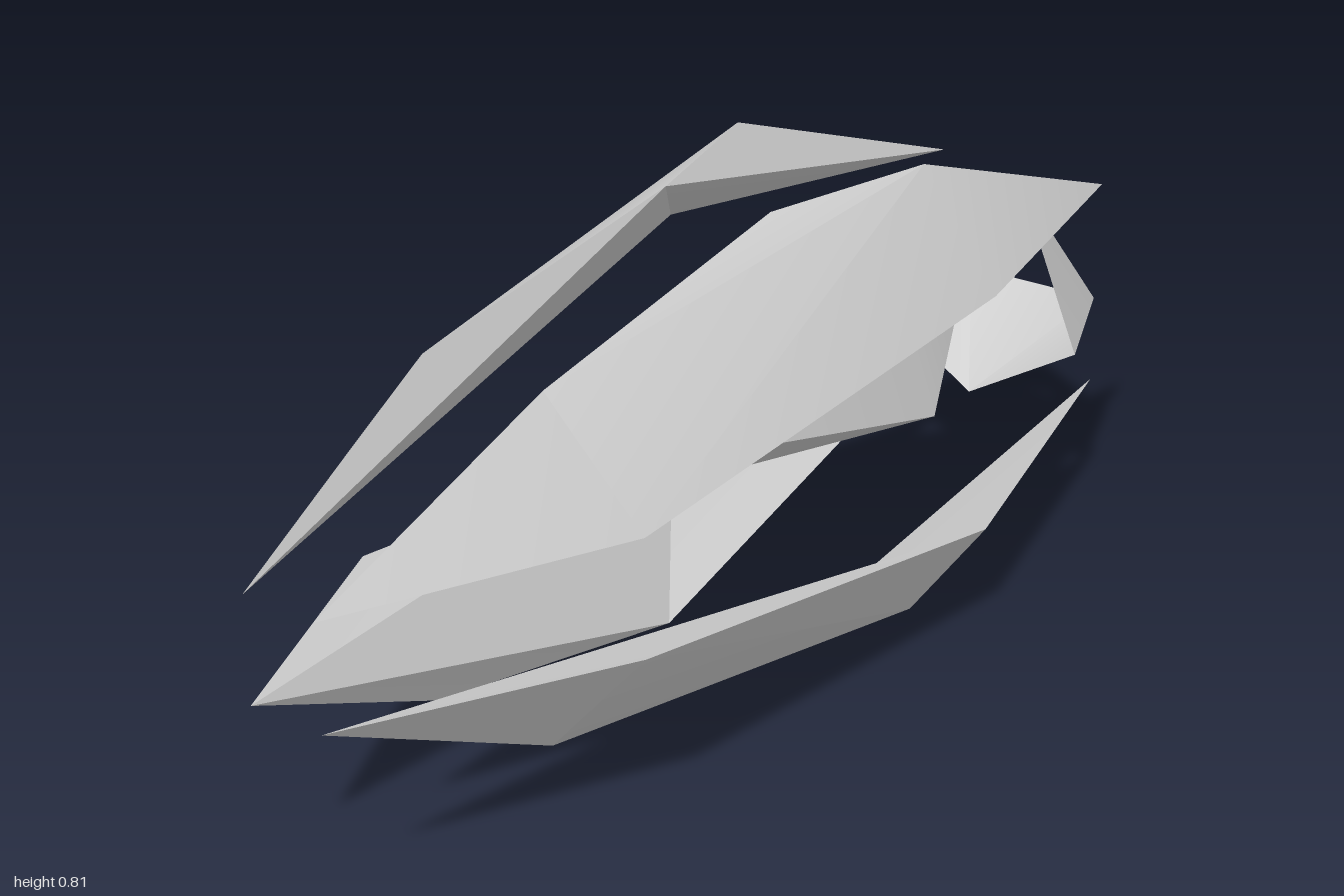
import * as THREE from 'three';
import { toCreasedNormals } from 'three/addons/utils/BufferGeometryUtils.js';

const CENTRE_Y = 0.406;

// Builds a faceted mesh from named corners (y relative to the centre line) and
// triangles spelled with those names; sx and sy mirror it, keeping faces outward.
function faceted(name, corners, triangles, { sx = 1, sy = 1, open = false, crease = 0.45 } = {}) {
  const keys = Object.keys(corners);
  const positions = keys.flatMap((k) => {
    const [x, y, z] = corners[k];
    return [x * sx, CENTRE_Y + y * sy, z];
  });
  const index = triangles.split(' ').flatMap((t) => {
    const [a, b, c] = [...t].map((k) => keys.indexOf(k));
    return sx * sy > 0 ? [a, b, c] : [a, c, b];
  });
  const geometry = new THREE.BufferGeometry();
  geometry.setAttribute('position', new THREE.Float32BufferAttribute(positions, 3));
  geometry.setIndex(index);
  const material = new THREE.MeshStandardMaterial({
    color: 0xcccccc,
    side: open ? THREE.DoubleSide : THREE.FrontSide,
  });
  const mesh = new THREE.Mesh(toCreasedNormals(geometry, crease), material);
  mesh.name = name;
  return mesh;
}

export function createModel() {
  const model = new THREE.Group();
  model.name = 'spacecraft';

  // Four armour shells: front tip T, front pair A B, inner ridge C, widest pair D E, rear tip K
  const shell = {
    T: [0.068, 0.087, 1.0],
    A: [0.115, 0.29, 0.57],
    B: [0.28, 0.098, 0.55],
    C: [0.103, 0.394, 0.0],
    D: [0.187, 0.406, -0.31],
    E: [0.332, 0.21, -0.31],
    K: [0.17, 0.193, -0.95],
  };
  const shellFaces = 'TBA ABD BED ADC DEK CDK TAC TEB TCE CKE';
  for (const [side, sx] of [['Left', 1], ['Right', -1]]) {
    for (const [level, sy] of [['upper', 1], ['lower', -1]]) {
      model.add(faceted(`${level}${side}Shell`, shell, shellFaces, { sx, sy }));
    }
  }

  // Core: twisted square section L T Q P, tapering to a front edge F R and a rear point K
  const core = {
    L: [-0.177, 0.075, -0.42],
    T: [0.05, 0.17, -0.43],
    Q: [0.168, -0.077, -0.4],
    P: [-0.07, -0.168, -0.4],
    F: [-0.067, -0.036, 0.41],
    R: [0.128, 0.079, 0.29],
    K: [0, 0.003, -0.75],
  };
  model.add(faceted('core', core, 'KLT KTQ KQP KPL LFR LRT RQT FPQ FQR LPF', { crease: 0.8 }));

  // Engine nozzle: open wall from a five-cornered mouth (1-5) to a three-cornered rear (a-c)
  const nozzle = {
    1: [0.082, 0.21, -0.81],
    2: [0.21, -0.088, -0.81],
    3: [-0.008, -0.215, -0.805],
    4: [-0.212, -0.088, -0.81],
    5: [-0.15, 0.158, -0.8],
    a: [0.14, -0.052, -1.0],
    b: [-0.045, 0.137, -1.0],
    c: [-0.13, -0.05, -1.0],
  };
  model.add(faceted('nozzle', nozzle, '12a 1ab 51b 5bc 45c 34c 3ca 23a', { open: true, crease: 0.8 }));

  return model;
}
